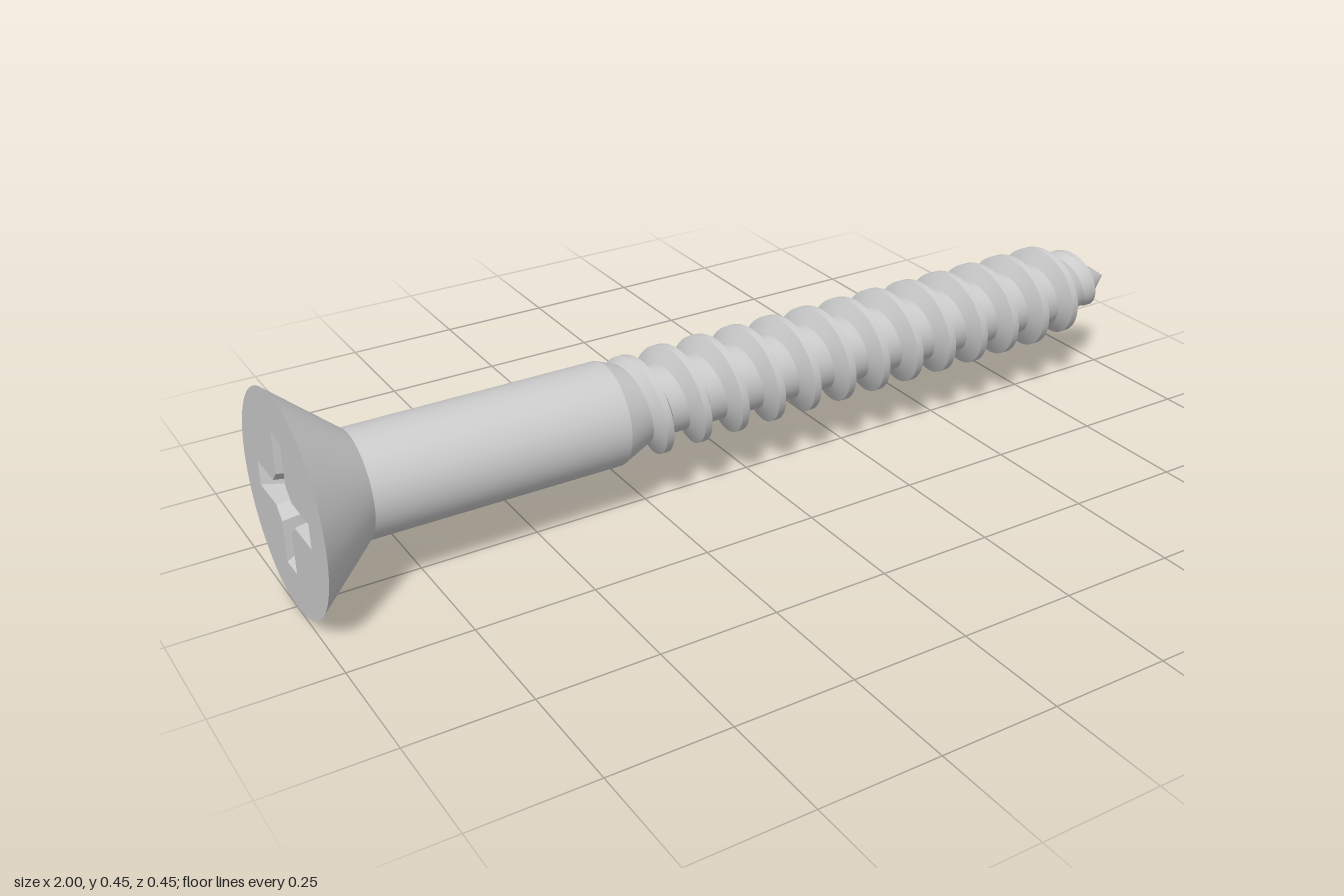
import * as THREE from 'three';

const AXIS_Y = 0.223, HEAD_R = 0.223, SHANK_R = 0.109, CORE_R = 0.075;
const PITCH = 0.0891, SIDES = 64;
const steel = new THREE.MeshStandardMaterial({ color: 0xcccccc, metalness: 0, roughness: 0.6 });

// Piecewise linear lookup through [x, value] pairs
function lookup(table, x) {
  if (x <= table[0][0]) return table[0][1];
  for (let i = 1; i < table.length; i++) {
    const [x0, v0] = table[i - 1], [x1, v1] = table[i];
    if (x <= x1) return v0 + (v1 - v0) * (x - x0) / (x1 - x0);
  }
  return table[table.length - 1][1];
}
const coreTable = [[-0.333, SHANK_R], [-0.25, CORE_R], [0.84, CORE_R], [0.9, 0.056], [0.955, 0.031], [1, 0]];
const crestTable = [[-0.32, 0.09], [-0.27, SHANK_R], [0.81, SHANK_R], [0.88, 0.085], [0.955, 0.038], [0.975, 0.016]];

function add(group, name, geometry) {
  const mesh = new THREE.Mesh(geometry, steel);
  mesh.name = name;
  group.add(mesh);
}

// Turned section lying along x, from [x, radius] pairs
function turned(pairs) {
  const g = new THREE.LatheGeometry(pairs.map(([x, r]) => new THREE.Vector2(r, x)), SIDES);
  return g.rotateZ(-Math.PI / 2);
}

// Grid surface, one row of two points per step
function strip(rows) {
  const pos = [], idx = [];
  rows.forEach(([a, b], i) => {
    pos.push(...a, ...b);
    const k = 2 * i;
    if (i < rows.length - 1) idx.push(k, k + 2, k + 1, k + 2, k + 3, k + 1);
  });
  const g = new THREE.BufferGeometry();
  g.setAttribute('position', new THREE.Float32BufferAttribute(pos, 3));
  g.setIndex(idx);
  g.computeVertexNormals();
  return g;
}

// Cross outline with slanted inner corners, counter-clockwise
function crossOutline(reach, half, corner) {
  const pts = [];
  for (let k = 0; k < 4; k++) {
    const arm = [[corner, -half], [reach, -half], [reach, half], [corner, half]];
    for (const [x, y] of arm) {
      pts.push(new THREE.Vector2(x, y).rotateAround(new THREE.Vector2(), k * Math.PI / 2));
    }
  }
  return pts;
}

export function createModel() {
  const model = new THREE.Group();
  model.name = 'woodScrew';
  const screw = new THREE.Group();
  screw.name = 'screw';
  screw.position.y = AXIS_Y;
  model.add(screw);

  // Countersunk head, plain shank, core and tip
  add(screw, 'headCone', turned([[-1, HEAD_R], [-0.867, SHANK_R]]));
  add(screw, 'shank', turned([[-0.867, SHANK_R], [-0.333, SHANK_R]]));
  add(screw, 'shankTaper', turned(coreTable.slice(0, 2)));
  add(screw, 'threadCore', turned(coreTable.slice(1, 3)));
  add(screw, 'tip', turned(coreTable.slice(2)));

  // Head face with the cross recess cut through it
  const rim = crossOutline(0.138, 0.026, 0.05);
  const floor = crossOutline(0.07, 0.017, 0.034);
  const depth = 0.1;
  const face = new THREE.Shape().absarc(0, 0, HEAD_R, 0, Math.PI * 2);
  face.holes.push(new THREE.Path(rim.slice().reverse()));
  const toHead = g => g.rotateY(-Math.PI / 2).translate(-1, 0, 0);
  add(screw, 'headFace', toHead(new THREE.ShapeGeometry(face, SIDES)));

  // Tapered recess walls and floor
  const wall = [];
  rim.forEach((t0, i) => {
    const j = (i + 1) % rim.length, t1 = rim[j], b0 = floor[i], b1 = floor[j];
    wall.push(t0.x, t0.y, 0, t1.x, t1.y, 0, b0.x, b0.y, -depth);
    wall.push(t1.x, t1.y, 0, b1.x, b1.y, -depth, b0.x, b0.y, -depth);
  });
  const walls = new THREE.BufferGeometry();
  walls.setAttribute('position', new THREE.Float32BufferAttribute(wall, 3));
  walls.computeVertexNormals();
  add(screw, 'recessWalls', toHead(walls));
  add(screw, 'recessFloor', toHead(new THREE.ShapeGeometry(new THREE.Shape(floor)).translate(0, 0, -depth)));

  // Right-handed thread: two flanks and a narrow crest swept along a helix
  const start = -0.32, end = 0.975, crestAtTop = 0.799;
  const steps = Math.round((end - start) / PITCH * 48);
  const flankBack = [], crest = [], flankFront = [];
  for (let i = 0; i <= steps; i++) {
    const x = start + (end - start) * i / steps;
    const angle = (x - crestAtTop) / PITCH * Math.PI * 2;
    const size = Math.min(1, (x - start) / 0.05, (end - x) / 0.06);
    const at = (dx, r) => [x + dx, r * Math.cos(angle), r * Math.sin(angle)];
    const foot = 0.027 * size, land = 0.008 * size;
    const r = lookup(crestTable, x);
    const root = dx => at(dx, 0.96 * lookup(coreTable, x + dx));
    flankBack.push([root(-foot), at(-land, r)]);
    crest.push([at(-land, r), at(land, r)]);
    flankFront.push([at(land, r), root(foot)]);
  }
  add(screw, 'threadBackFlank', strip(flankBack));
  add(screw, 'threadCrest', strip(crest));
  add(screw, 'threadFrontFlank', strip(flankFront));

  return model;
}
